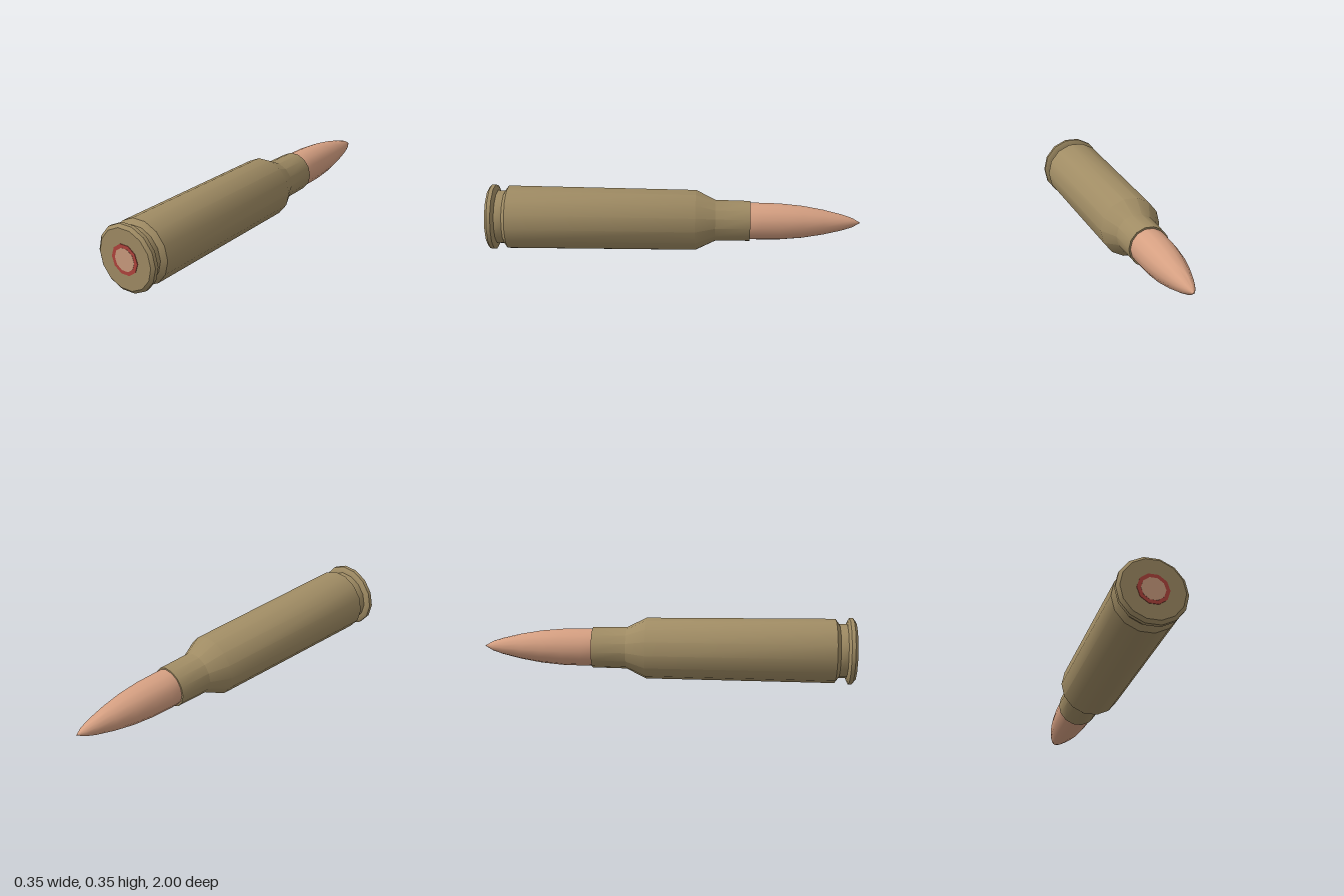
import * as THREE from 'three';
import { toCreasedNormals } from 'three/addons/utils/BufferGeometryUtils.js';

const AXIS_HEIGHT = 0.174;

// Turned part along z; profile is a list of [radius, z] from the tip (-z) to the base (+z)
function turned(name, profile, sides, color) {
  const points = profile.map(([r, z]) => new THREE.Vector2(r, z));
  const lathe = new THREE.LatheGeometry(points, sides, Math.PI / 2);
  lathe.rotateX(Math.PI / 2);
  const mesh = new THREE.Mesh(
    toCreasedNormals(lathe, 0.55),
    new THREE.MeshStandardMaterial({ color, side: THREE.DoubleSide })
  );
  mesh.name = name;
  mesh.position.y = AXIS_HEIGHT;
  return mesh;
}

export function createModel() {
  const group = new THREE.Group();
  group.name = 'cartridge';

  // Case: mouth, neck, shoulder, tapered body, extractor groove, bevelled rim, flat base
  group.add(turned('case', [
    [0.098, -0.41], [0.109, -0.41], [0.112, -0.225],
    [0.164, -0.12], [0.172, 0.89], [0.145, 0.91],
    [0.145, 0.95], [0.162, 0.953], [0.177, 0.962], [0.177, 0.982],
    [0.16, 0.996], [0, 0.996],
  ], 14, 0xa08c64));

  // Bullet with a curved nose, seated in the neck
  group.add(turned('bullet', [
    [0, -1], [0.025, -0.957], [0.044, -0.9], [0.068, -0.8],
    [0.087, -0.69], [0.098, -0.57], [0.1, -0.47], [0.1, -0.4],
  ], 14, 0xd6a082));

  // Primer pocket ring and primer cap on the base
  group.add(turned('primerRing', [
    [0.061, 0.99], [0.081, 0.99], [0.081, 0.999], [0.061, 0.999],
  ], 10, 0xb0443c));
  group.add(turned('primer', [
    [0.061, 0.99], [0.061, 1], [0, 1],
  ], 10, 0xcb9c7e));

  return group;
}
